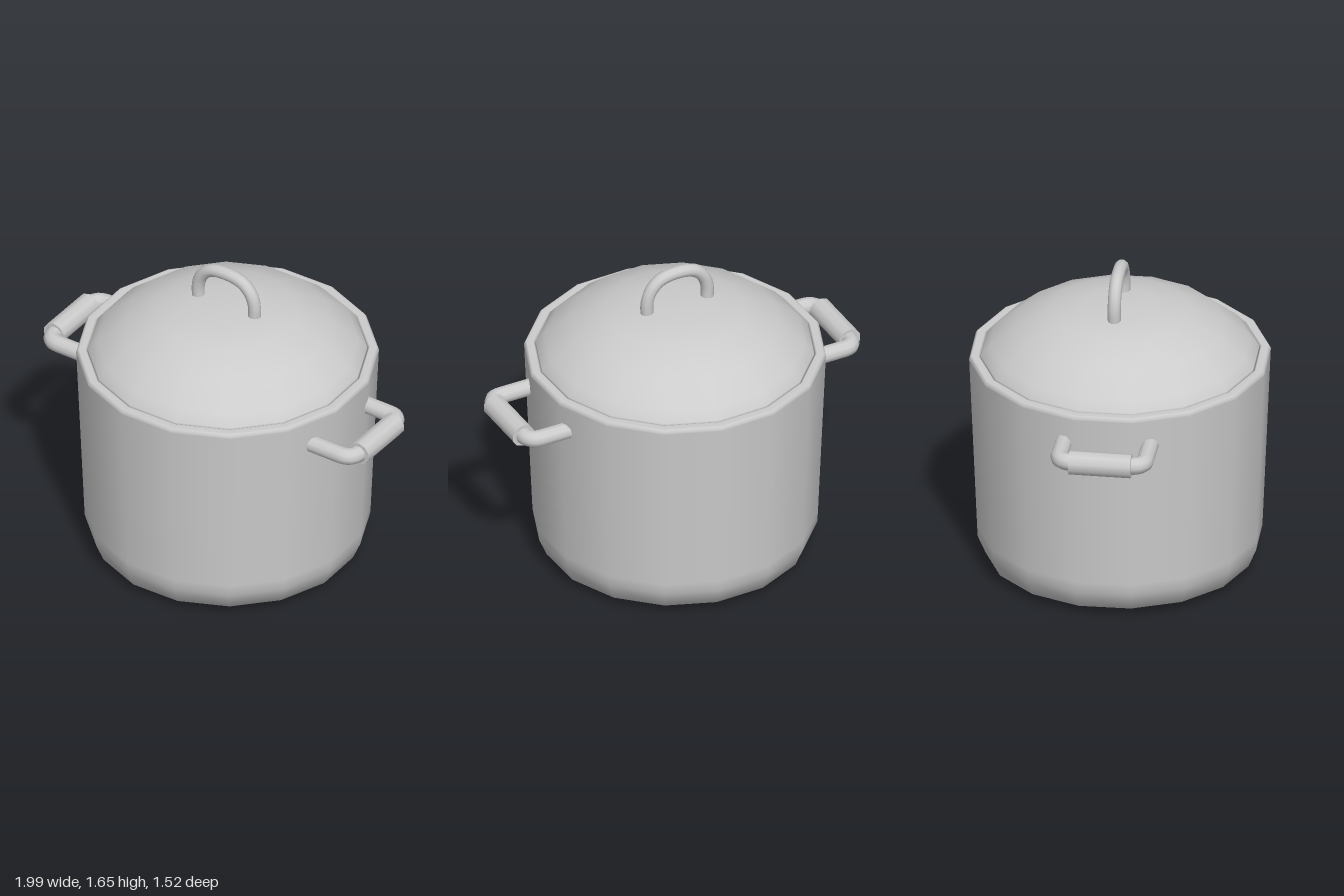
import * as THREE from 'three';

const SIDES = 16;
const PHI = -0.171; // turn of the 16-sided body

const material = new THREE.MeshStandardMaterial({ color: 0xcccccc, side: THREE.DoubleSide });

function add(parent, name, geometry) {
  const mesh = new THREE.Mesh(geometry, material);
  mesh.name = name;
  parent.add(mesh);
  return mesh;
}

function lathe(profile) {
  const points = profile.map(([r, y]) => new THREE.Vector2(r, y));
  return new THREE.LatheGeometry(points, SIDES, PHI, Math.PI * 2);
}

// Round bar along a path, closed at both ends by discs
function bar(path, radius, segments, sides) {
  return new THREE.TubeGeometry(path, segments, radius, sides, false);
}

// U-shaped side handle pointing to +x
function sideHandle(name) {
  const group = new THREE.Group();
  group.name = name;
  const y = 0.995, mid = 0.032, half = 0.22, out = 0.935, bend = 0.07;
  const v = (x, z) => new THREE.Vector3(x, y, mid + z);
  const path = new THREE.CurvePath();
  path.add(new THREE.LineCurve3(v(0.67, half), v(out - bend, half)));
  path.add(new THREE.QuadraticBezierCurve3(v(out - bend, half), v(out, half), v(out, half - bend)));
  path.add(new THREE.LineCurve3(v(out, half - bend), v(out, bend - half)));
  path.add(new THREE.QuadraticBezierCurve3(v(out, bend - half), v(out, -half), v(out - bend, -half)));
  path.add(new THREE.LineCurve3(v(out - bend, -half), v(0.67, -half)));
  add(group, 'handleBar', bar(path, 0.045, 48, 10));

  // Thicker grip sleeve
  const grip = add(group, 'handleGrip', new THREE.CylinderGeometry(0.062, 0.062, 0.318, 10));
  grip.rotation.x = Math.PI / 2;
  grip.position.set(0.938, y, mid);
  return group;
}

export function createModel() {
  const model = new THREE.Group();
  model.name = 'cookingPot';

  // Pot: outer wall, rim, inner wall and inner floor
  add(model, 'potBody', lathe([
    [0, 0], [0.565, 0], [0.575, 0.001], [0.685, 0.045], [0.725, 0.14],
    [0.728, 0.2], [0.768, 1.14], [0.769, 1.15], [0.762, 1.164], [0.755, 1.166],
    [0.722, 1.166], [0.716, 1.163], [0.714, 1.15], [0.675, 0.16], [0.62, 0.07], [0, 0.05],
  ]));

  // Domed lid set just inside the rim
  add(model, 'lid', lathe([
    [0.695, 1.13], [0.71, 1.15], [0.709, 1.168], [0.665, 1.22], [0.535, 1.328],
    [0.36, 1.403], [0.185, 1.432], [0, 1.434],
  ]));

  // Arched lid handle
  const cx = -0.01, w = 0.172;
  const arch = [[-w, 1.4], [-w, 1.49], [-0.152, 1.552], [-0.1, 1.604], [0, 1.622],
    [0.1, 1.604], [0.152, 1.552], [w, 1.49], [w, 1.4]];
  const archPath = new THREE.CatmullRomCurve3(
    arch.map(([x, y]) => new THREE.Vector3(cx + x, y, -0.004)));
  add(model, 'lidHandle', bar(archPath, 0.034, 28, 10));

  // Side handles
  model.add(sideHandle('leftHandle'));
  const right = sideHandle('rightHandle');
  right.rotation.y = Math.PI;
  right.position.z = 0.064;
  model.add(right);

  return model;
}
